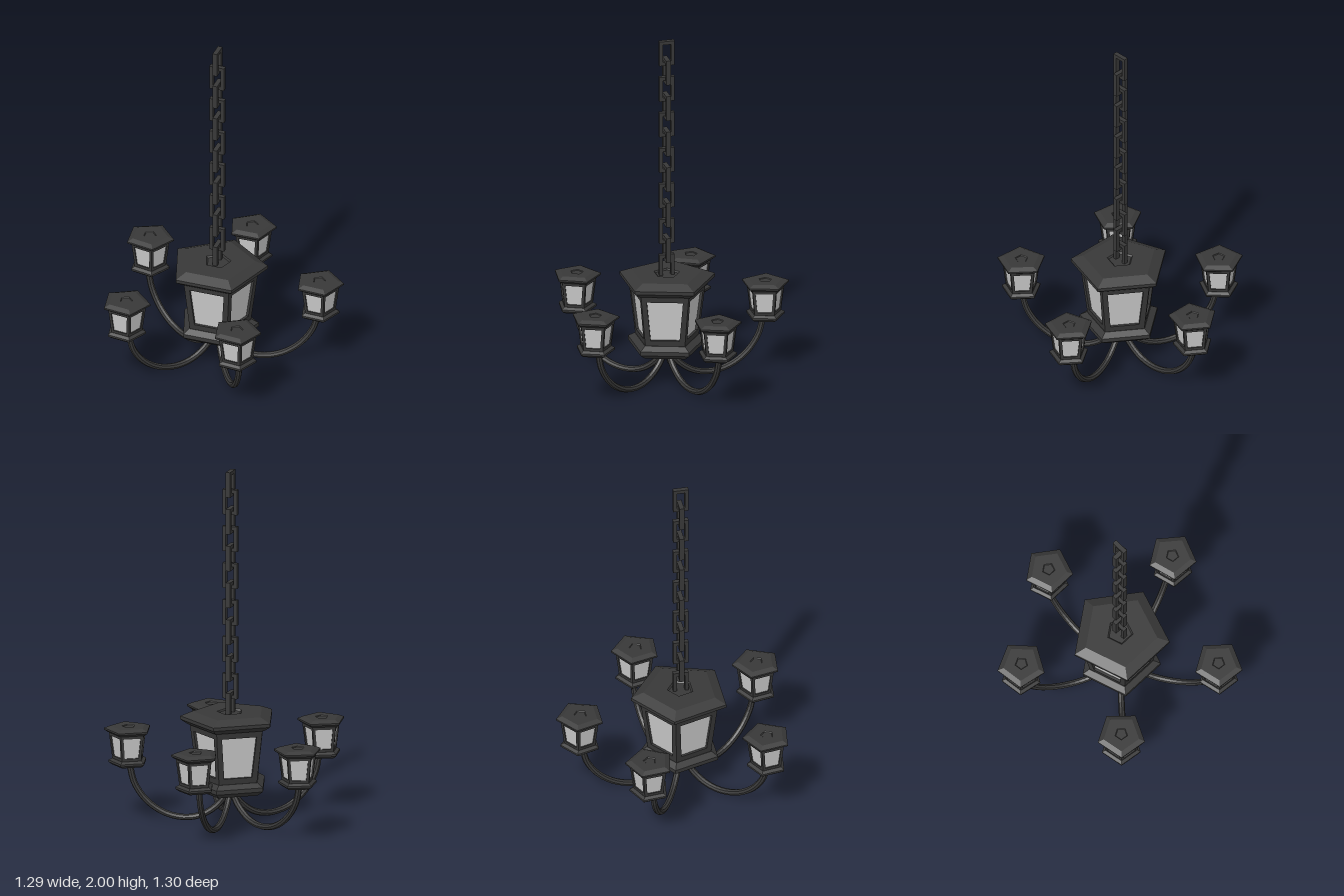
import * as THREE from 'three';

const metal = new THREE.MeshStandardMaterial({ color: 0x383838, flatShading: true });
const glass = new THREE.MeshStandardMaterial({ color: 0xcccccc, flatShading: true, side: THREE.DoubleSide });
const rad = THREE.MathUtils.degToRad;

function add(parent, name, geometry, material = metal) {
  const mesh = new THREE.Mesh(geometry, material);
  mesh.name = name;
  parent.add(mesh);
  return mesh;
}

// Five-sided solid of revolution with one corner toward -z
function pentagonLathe(profile) {
  return new THREE.LatheGeometry(profile.map(p => new THREE.Vector2(...p)), 5).rotateY(Math.PI);
}

// Body of the lantern: corner radius grows linearly from bottom to top
const Y0 = 0.068, Y1 = 0.38, R0 = 0.185, R1 = 0.225;
const apothem = y => THREE.MathUtils.mapLinear(y, Y0, Y1, R0, R1) * Math.cos(Math.PI / 5);

// Lean a flat panel so that it follows the tapering body
function lean(geometry, inset) {
  const p = geometry.attributes.position;
  for (let i = 0; i < p.count; i++) p.setZ(i, p.getZ(i) + apothem(p.getY(i)) - inset);
  geometry.computeVertexNormals();
  return geometry;
}

function trapezoid(Path, y0, y1, half0, half1) {
  return new Path([[-half0, y0], [half0, y0], [half1, y1], [-half1, y1]].map(p => new THREE.Vector2(...p)));
}

function createLantern(name) {
  const lantern = new THREE.Group();
  lantern.name = name;

  add(lantern, 'base', pentagonLathe([
    [0, 0], [0.19, 0], [0.228, 0.027], [0.228, 0.05], [0.188, 0.073], [0, 0.073]]));
  add(lantern, 'cap', pentagonLathe([
    [0, 0.375], [0.235, 0.375], [0.278, 0.403], [0.278, 0.422], [0.21, 0.45],
    [0.075, 0.45], [0.066, 0.442], [0, 0.442]]));

  // Window frames with recessed panes
  const s = Math.sin(Math.PI / 5);
  const frameShape = trapezoid(THREE.Shape, Y0, Y1, R0 * s, R1 * s);
  frameShape.holes.push(trapezoid(THREE.Path, 0.106, 0.34, 0.08, 0.1));
  const frame = lean(new THREE.ExtrudeGeometry(frameShape, { depth: 0.02, bevelEnabled: false }), 0.02);
  const pane = lean(new THREE.ShapeGeometry(trapezoid(THREE.Shape, 0.1, 0.346, 0.082, 0.102)), 0.015);
  for (let i = 0; i < 5; i++) {
    const angle = i * Math.PI * 2 / 5;
    add(lantern, 'windowFrame', frame).rotation.y = angle;
    add(lantern, 'windowPane', pane, glass).rotation.y = angle;
  }
  return lantern;
}

// Rectangular chain link, standing on its own base in the xy plane
function linkGeometry() {
  const w = 0.043, h = 0.143, bar = 0.02, depth = 0.026;
  const shape = trapezoid(THREE.Shape, 0, h, w, w);
  shape.holes.push(trapezoid(THREE.Path, bar, h - bar, w - bar, w - bar));
  return new THREE.ExtrudeGeometry(shape, { depth, bevelEnabled: false }).translate(0, 0, -depth / 2);
}

export function createModel() {
  const model = new THREE.Group();
  model.name = 'chandelier';
  const body = new THREE.Group();
  body.name = 'body';
  body.position.set(-0.035, 0, 0.042);
  model.add(body);

  const main = createLantern('mainLantern');
  main.position.y = 0.177;
  body.add(main);

  // Chain of links turned alternately by a quarter
  const link = linkGeometry();
  for (let i = 0; i < 13; i++) {
    const mesh = add(body, 'chainLink', link);
    mesh.position.y = 0.597 + i * 0.105;
    mesh.rotation.y = i % 2 ? 0 : Math.PI / 2;
  }

  // Curved arms, each carrying a small lantern
  const reach = 0.564;
  const path = new THREE.CatmullRomCurve3([
    [0, 0.19], [0.065, 0.1], [0.15, 0.04], [0.25, 0.02], [0.36, 0.043],
    [0.46, 0.11], [0.53, 0.21], [reach - 0.006, 0.32]].map(([r, y]) => new THREE.Vector3(0, y, -r)));
  const armGeometry = new THREE.TubeGeometry(path, 24, 0.018, 8);
  for (const degrees of [0, 75.2, 149.4, -136.5, -61.2]) {
    const branch = new THREE.Group();
    branch.name = 'branch';
    branch.rotation.y = -rad(degrees);
    add(branch, 'arm', armGeometry).rotation.y = rad(1.8);
    const lantern = createLantern('smallLantern');
    lantern.scale.setScalar(0.49);
    lantern.position.set(0, 0.31, -reach);
    branch.add(lantern);
    body.add(branch);
  }
  return model;
}
